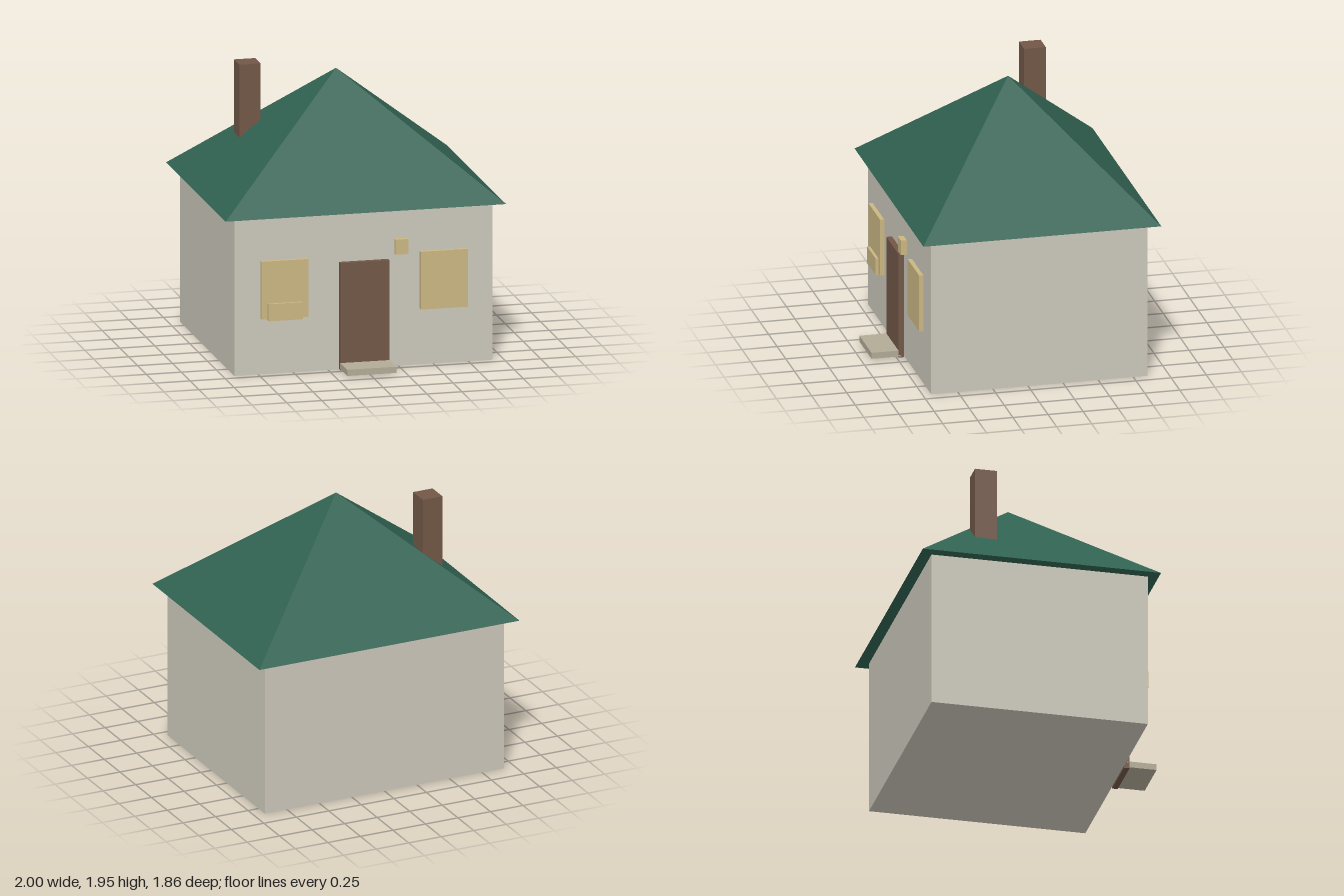
import * as THREE from 'three';

const material = (name, color) => {
  const m = new THREE.MeshStandardMaterial({ color });
  m.name = name;
  return m;
};

export function createModel() {
  const house = new THREE.Group();
  house.name = 'house';

  const plaster = material('plaster', 0xcbc7ba);
  const roofGreen = material('roofGreen', 0x306151);
  const brown = material('brown', 0x725747);
  const warmYellow = material('warmYellow', 0xcab682);
  const stone = material('stone', 0xb2aa96);

  // Box given by its extents along each axis
  const block = (name, mat, [x0, x1], [y0, y1], [z0, z1]) => {
    const mesh = new THREE.Mesh(new THREE.BoxGeometry(x1 - x0, y1 - y0, z1 - z0), mat);
    mesh.position.set((x0 + x1) / 2, (y0 + y1) / 2, (z0 + z1) / 2);
    mesh.name = name;
    house.add(mesh);
  };

  block('walls', plaster, [-0.92, 0.92], [0, 1.13], [-0.85, 0.69]);

  // Pyramid roof: four-sided cone squared to the walls, with flat faces
  const cone = new THREE.ConeGeometry(Math.SQRT1_2, 1, 4, 1).rotateY(Math.PI / 4);
  cone.scale(2, 0.825, 1.695);
  const pyramid = cone.toNonIndexed();
  pyramid.computeVertexNormals();
  const roof = new THREE.Mesh(pyramid, roofGreen);
  roof.position.set(0, 1.125 + 0.825 / 2, -0.083);
  roof.name = 'roof';
  house.add(roof);

  block('chimney', brown, [-0.63, -0.48], [1.32, 1.953], [-0.47, -0.315]);

  // Entrance
  block('door', brown, [-0.175, 0.175], [0.005, 0.77], [0.7, 0.74]);
  block('doorStep', stone, [-0.175, 0.175], [0.013, 0.057], [0.72, 0.932]);
  block('doorLamp', warmYellow, [0.215, 0.305], [0.81, 0.917], [0.713, 0.755]);

  // Front windows and flower box
  for (const side of [-1, 1]) {
    const x = side * 0.568;
    block(side < 0 ? 'rightWindow' : 'leftWindow', warmYellow,
      [x - 0.168, x + 0.168], [0.4, 0.813], [0.7, 0.73]);
  }
  block('flowerBox', warmYellow, [-0.692, -0.446], [0.39, 0.512], [0.708, 0.75]);

  return house;
}
